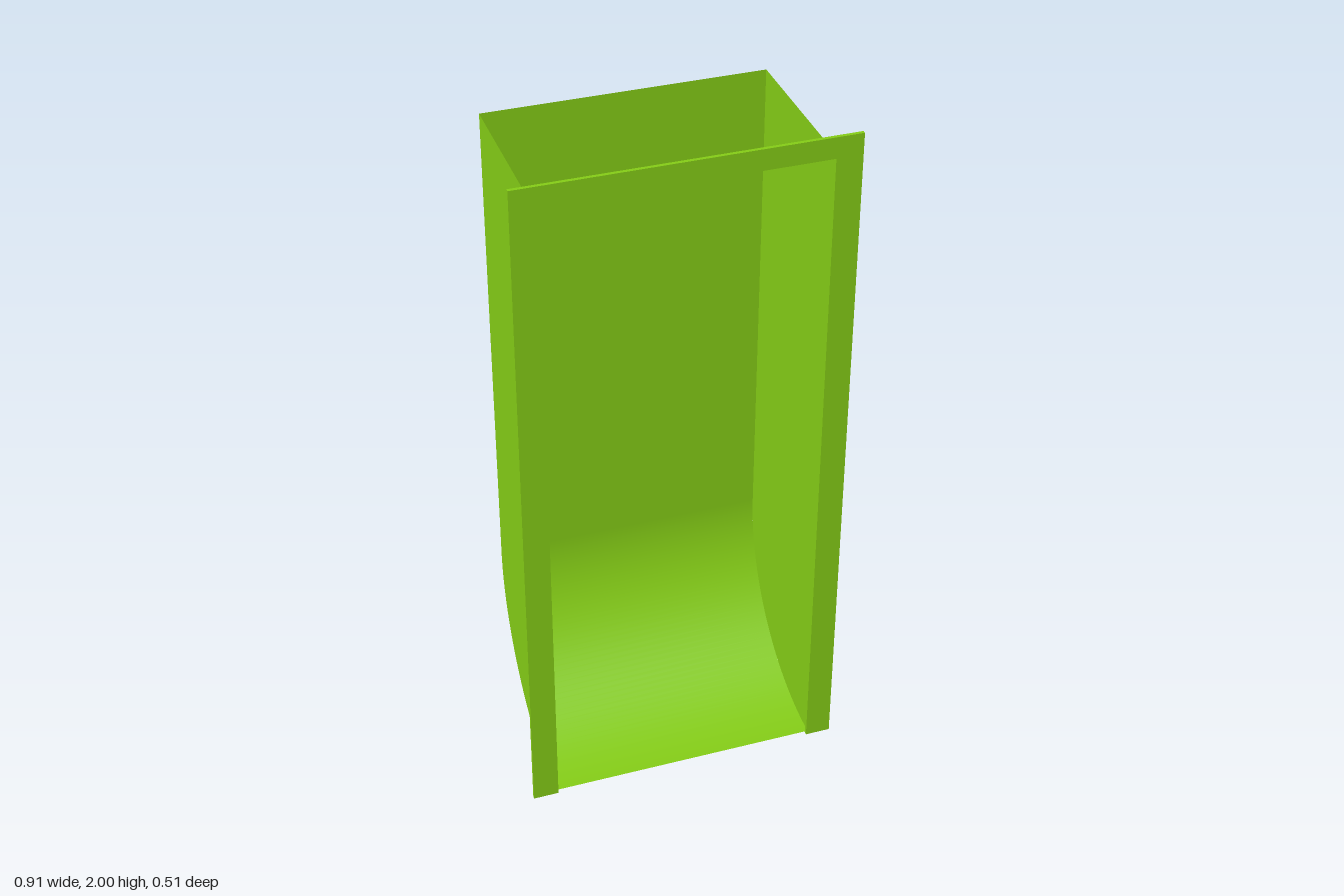
import * as THREE from 'three';

const material = new THREE.MeshStandardMaterial({ color: 0x84cc16, side: THREE.DoubleSide });
const HALF = 0.393;              // half width of the chute
const TOP = 1.94;                // open top of the chute
const FRONT = 0.246, BACK = -0.256, SEAM = 0.17;
const R = FRONT - BACK, BASE = 0.003;

// Height of the curved underside at depth z
const floorY = (z) => BASE + R - Math.sqrt(Math.max(0, R * R - (FRONT - z) ** 2));

function addMesh(group, name, geometry) {
  const mesh = new THREE.Mesh(geometry, material);
  mesh.name = name;
  group.add(mesh);
  return mesh;
}

// Flat side panel between two depths, its lower edge following the curve
function sidePanel(x, zFront, zBack) {
  const shape = new THREE.Shape();
  shape.moveTo(-zFront, TOP);
  const a0 = Math.asin((FRONT - zFront) / R), a1 = Math.asin(Math.min(1, (FRONT - zBack) / R));
  const steps = 32;
  for (let i = 0; i <= steps; i++) {
    const z = FRONT - R * Math.sin(a0 + (a1 - a0) * i / steps);
    shape.lineTo(-z, floorY(z));
  }
  shape.lineTo(-zBack, TOP);
  return new THREE.ShapeGeometry(shape).rotateY(Math.PI / 2).translate(x, 0, 0);
}

export function createModel() {
  const model = new THREE.Group();
  model.name = 'chute';

  // Front frame: two legs and a top rail, open at the bottom
  const w = 0.457, inner = 0.384;
  const frame = new THREE.Shape([
    [-w, 0], [-inner, 0], [-inner, TOP], [inner, TOP], [inner, 0], [w, 0], [w, 2], [-w, 2],
  ].map(([x, y]) => new THREE.Vector2(x, y)));
  addMesh(model, 'frontFrame',
    new THREE.ExtrudeGeometry(frame, { depth: 0.01, bevelEnabled: false }).translate(0, 0, FRONT));

  // Curved floor: quarter cylinder rising into the back wall
  addMesh(model, 'curvedFloor',
    new THREE.CylinderGeometry(R, R, HALF * 2, 48, 1, true, Math.PI, Math.PI / 2)
      .rotateZ(Math.PI / 2)
      .translate(0, BASE + R, FRONT));

  // Back wall
  const wallHeight = TOP - BASE - R;
  addMesh(model, 'backWall',
    new THREE.PlaneGeometry(HALF * 2, wallHeight)
      .rotateY(Math.PI)
      .translate(0, TOP - wallHeight / 2, BACK));

  // Side walls and the narrow strips joining them to the frame
  for (const [side, s] of [['left', 1], ['right', -1]]) {
    addMesh(model, side + 'Wall', sidePanel(s * HALF, SEAM, BACK));
    addMesh(model, side + 'FrontStrip', sidePanel(s * HALF, FRONT, SEAM));
  }
  return model;
}
